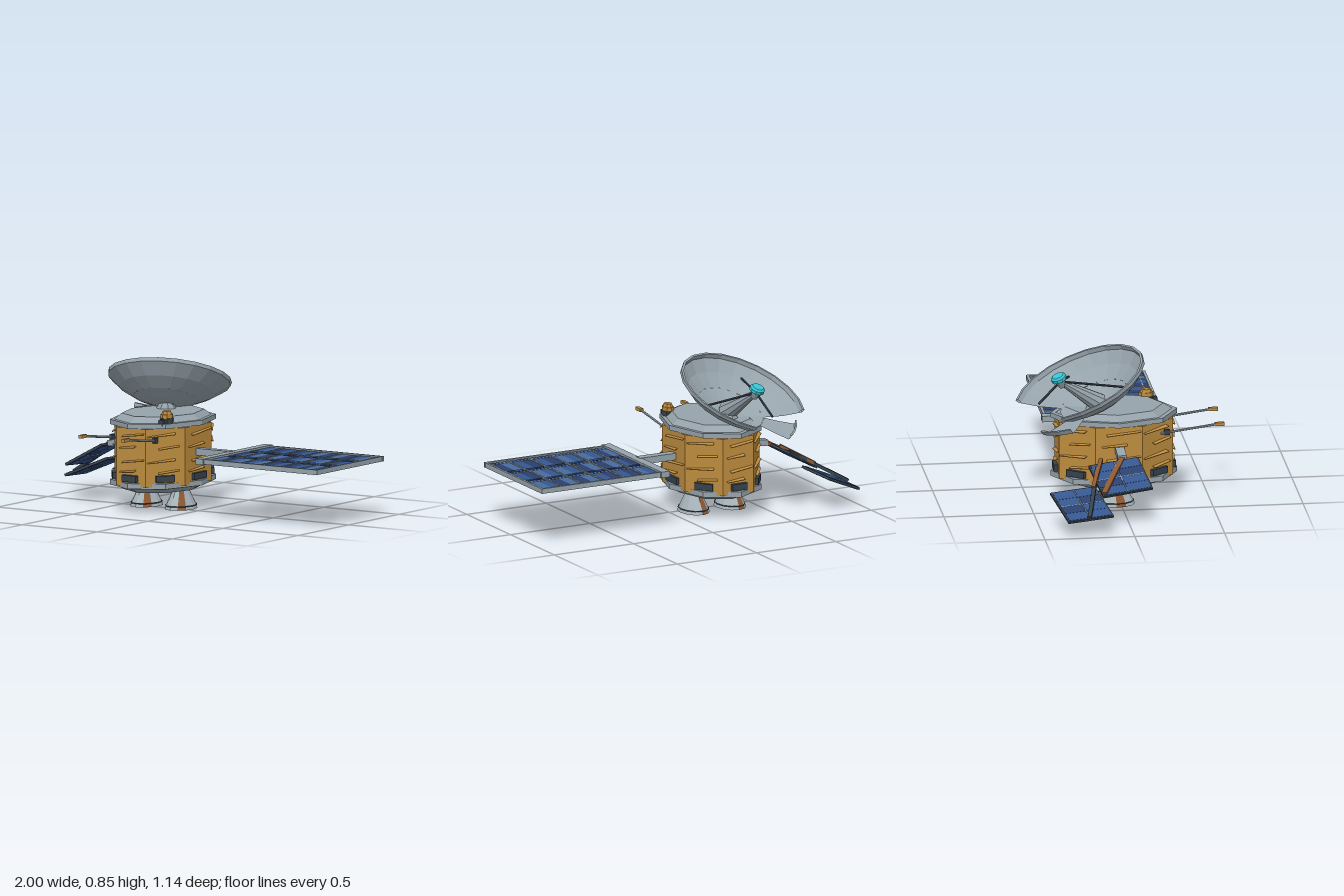
import * as THREE from 'three';

const mat = (name, color, side = THREE.FrontSide) => {
  const m = new THREE.MeshStandardMaterial({ color, side });
  m.name = name;
  return m;
};
const D = THREE.DoubleSide;
const M = {
  gold: mat('gold foil', 0xbd8c3e),
  grey: mat('grey metal', 0x96a3ab, D),
  silver: mat('silver nozzle', 0xa8b4bb, D),
  dark: mat('dark metal', 0x36424c),
  cyan: mat('cyan cap', 0x38c4d4),
  rust: mat('rust', 0x8c5833, D),
  blues: [mat('mid blue cell', 0x35568f), mat('light blue cell', 0x486b9e), mat('dark blue cell', 0x2b406e)],
};
const V = (x, y, z) => new THREE.Vector3(x, y, z);

// Faceted mesh: split the faces so that each has its own normal
function add(parent, name, geo, material, x = 0, y = 0, z = 0) {
  const g = geo.index ? geo.toNonIndexed() : geo;
  g.computeVertexNormals();
  const mesh = new THREE.Mesh(g, material);
  mesh.name = name;
  mesh.position.set(x, y, z);
  parent.add(mesh);
  return mesh;
}
const box = (p, name, m, w, h, d, x, y, z) => add(p, name, new THREE.BoxGeometry(w, h, d), m, x, y, z);
const prism = (p, name, m, rt, rb, h, y, n = 8, x = 0, z = 0) =>
  add(p, name, new THREE.CylinderGeometry(rt, rb, h, n), m, x, y, z);
function group(parent, name) {
  const g = new THREE.Group();
  g.name = name;
  parent.add(g);
  return g;
}
// Square beam or round rod between two points
function beam(p, name, m, a, b, w, h = w) {
  const mesh = box(p, name, m, w, h, a.distanceTo(b), 0, 0, 0);
  mesh.lookAt(b.clone().sub(a));
  mesh.position.copy(a).lerp(b, 0.5);
}
function rod(p, name, m, a, b, ra, rb = ra, n = 6) {
  const mesh = prism(p, name, m, rb, ra, a.distanceTo(b), 0, n);
  mesh.quaternion.setFromUnitVectors(V(0, 1, 0), b.clone().sub(a).normalize());
  mesh.position.copy(a).lerp(b, 0.5);
}

// Octagonal foil-wrapped bus with lids, vents, flaps and engines
function buildBody(root) {
  const body = group(root, 'body');
  body.position.set(-0.25, 0, -0.022);
  body.scale.x = 0.74;
  prism(body, 'foilHull', M.gold, 0.343, 0.343, 0.325, 0.3125).rotation.y = Math.PI / 8;
  prism(body, 'topRim', M.grey, 0.353, 0.353, 0.027, 0.49);
  prism(body, 'topLid', M.grey, 0.275, 0.325, 0.032, 0.519);
  prism(body, 'bottomRim', M.grey, 0.353, 0.353, 0.03, 0.155);
  prism(body, 'bottomLid', M.grey, 0.335, 0.25, 0.034, 0.124);
  for (let k = 0; k < 8; k++) {
    const face = group(body, 'hullFace');
    face.rotation.y = k * Math.PI / 4;
    box(face, 'ventBox', M.dark, 0.126, 0.037, 0.035, 0, 0.195, 0.322);
    // Loose foil wrinkles
    [0.235, 0.295, 0.37, 0.44].forEach((y, i) => {
      const s = (i + k) % 2 ? 1 : -1;
      const flap = box(face, 'foilFlap', M.gold, i % 2 ? 0.19 : 0.14, 0.004, 0.034, s * 0.025, y, 0.318);
      flap.rotation.set(0.35, s * 0.05, 0.09);
    });
  }
  // Engine bells with scorched strips
  for (const s of [-1, 1]) {
    const engine = group(body, 'engine');
    engine.position.set(s * 0.155, 0, -0.01);
    const bell = [[0.112, 0], [0.104, 0.02], [0.078, 0.065], [0.052, 0.112]].map(p => new THREE.Vector2(...p));
    const n = 12, step = Math.PI * 2 / n;
    for (let i = 0; i < n; i++) {
      const scorched = i === 1 || i === 6 || i === 9;
      add(engine, 'bellPanel', new THREE.LatheGeometry(bell, 1, i * step, step), scorched ? M.rust : M.silver);
    }
    const band = add(engine, 'bellBand', new THREE.TorusGeometry(0.105, 0.004, 4, n), M.dark, 0, 0.02, 0);
    band.rotation.x = Math.PI / 2;
  }
  // Star sensor on the lid
  const sensor = group(body, 'sensor');
  sensor.position.set(0.215, 0, 0.2);
  prism(sensor, 'sensorBase', M.dark, 0.045, 0.045, 0.035, 0.513);
  box(sensor, 'sensorBox', M.dark, 0.04, 0.035, 0.04, 0, 0.508, 0.04);
  prism(sensor, 'sensorHousing', M.gold, 0.042, 0.042, 0.022, 0.543);
  prism(sensor, 'sensorCap', M.gold, 0.028, 0.036, 0.018, 0.562);
}

// Tilted dish, with a torn gap and one bent petal
function buildDish(root) {
  const dish = group(root, 'dish');
  const tilt = new THREE.Matrix4().set(
    0.337, -0.035, 0, -0.337,
    0.06, 0.125, 0.142, 0.68,
    0, -0.1, 0.355, -0.215,
    0, 0, 0, 1);
  const deg = Math.PI / 180;
  const shell = (name, pts, n, from, len) => {
    const g = new THREE.LatheGeometry(pts.map(p => new THREE.Vector2(...p)), n, from * deg, len * deg);
    add(dish, name, g.applyMatrix4(tilt), M.grey);
  };
  shell('dishCentre', [[0, -1], [0.27, -0.93], [0.52, -0.73]], 20, 0, 360);
  shell('dishOuter', [[0.52, -0.73], [0.77, -0.41], [0.99, 0], [1, 0.14], [0.965, 0.14], [0.95, -0.03]], 16, 247, 276);
  shell('bentPetal', [[0.52, -0.73], [0.77, -0.68], [1, -0.6], [1, -0.42], [0.97, -0.42]], 3, 215, 32);
  prism(dish, 'dishMount', M.grey, 0.035, 0.06, 0.04, 0.55, 8, -0.3, -0.13);

  // Feed horn and its struts
  const root0 = V(-0.305, 0.565, -0.11), tip = V(-0.363, 0.715, -0.335);
  rod(dish, 'feedHorn', M.grey, root0, tip, 0.055, 0.015, 10);
  const n = V(-0.16, 0.91, -0.38).normalize();
  const at = t => tip.clone().addScaledVector(n, t);
  rod(dish, 'feedNeck', M.grey, at(-0.035), at(0.015), 0.018, 0.034, 10);
  rod(dish, 'feedCap', M.cyan, at(0.012), at(0.03), 0.044, 0.044, 10);
  rod(dish, 'feedCapTop', M.cyan, at(0.03), at(0.04), 0.044, 0.033, 10);
  for (const e of [V(-0.088, 0.655, -0.255), V(-0.468, 0.7, 0.02), V(-0.4, 0.6, -0.46)])
    rod(dish, 'feedStrut', M.dark, tip, e, 0.007);
}

// Large intact solar wing on the left side
function buildWing(root) {
  const wing = group(root, 'solarWing');
  const y = 0.328;
  box(wing, 'wingArm', M.grey, 0.24, 0.038, 0.05, 0.09, y, -0.025);
  box(wing, 'hingeBar', M.grey, 0.052, 0.034, 0.685, 0.222, y, -0.022);
  for (const z of [-0.346, 0.302]) box(wing, 'sideRail', M.grey, 0.755, 0.028, 0.016, 0.62, y, z);
  box(wing, 'endRail', M.grey, 0.014, 0.028, 0.664, 0.99, y, -0.022);
  const cols = [0.248, 0.34, 0.468, 0.596, 0.73, 0.858, 0.983];
  cols.slice(1, 6).forEach(x => box(wing, 'rib', M.grey, 0.011, 0.02, 0.64, x, y, -0.022));
  [[-0.34, -0.168, -0.138], [-0.118, 0.05, 0.074], [0.098, 0.265, 0.294]].forEach(([a, c, b], r) => {
    box(wing, 'rowStrip', M.grey, 0.735, 0.016, 0.006, 0.615, y, c);
    for (let i = 0; i < 6; i++) {
      const w = (cols[i + 1] - cols[i]) / 2;
      for (let h = 0; h < 2; h++) {
        const blue = M.blues[(i * 2 + h + r * 2 + (i >> 1)) % 3];
        box(wing, 'solarCell', blue, w, 0.012, b - a, cols[i] + w * (h + 0.5), y, (a + b) / 2);
      }
    }
  });
}

// Snapped panel from four corners, as a slab with cells on both faces
function brokenPanel(parent, p1, p2, p3, p4) {
  const panel = group(parent, 'brokenPanel');
  const c = p1.clone().add(p2).add(p3).add(p4).multiplyScalar(0.25);
  const u = p2.clone().add(p3).sub(p1).sub(p4).multiplyScalar(0.5);
  const v = p4.clone().add(p3).sub(p1).sub(p2).multiplyScalar(0.5);
  const n = v.clone().cross(u).normalize();
  const m = new THREE.Matrix4().makeBasis(u, n, v).setPosition(c);
  const slab = (name, mt, w, h, d, x, z) =>
    add(panel, name, new THREE.BoxGeometry(w, h, d).translate(x, 0, z).applyMatrix4(m), mt);
  slab('panelCore', M.dark, 1, 0.014, 1, 0, 0);
  for (let i = 0; i < 4; i++)
    for (let j = 0; j < 2; j++)
      slab('panelCell', M.blues[(i + j * 2) % 3 === 1 ? 2 : 0], 0.23, 0.018, 0.45, (i - 1.5) * 0.235, (j - 0.5) * 0.48);
  slab('panelLine', M.grey, 0.94, 0.02, 0.016, 0, 0);
  slab('panelLine', M.grey, 0.016, 0.02, 0.94, 0, 0);
}

function buildBrokenWing(root) {
  const wing = group(root, 'brokenWing');
  beam(wing, 'wingStub', M.grey, V(-0.46, 0.35, -0.02), V(-0.6, 0.33, -0.02), 0.05, 0.034);
  brokenPanel(wing, V(-0.84, 0.19, -0.16), V(-0.655, 0.3, -0.21), V(-0.585, 0.335, 0.065), V(-0.81, 0.205, 0.13));
  brokenPanel(wing, V(-1, 0.095, -0.365), V(-0.77, 0.19, -0.445), V(-0.735, 0.215, -0.185), V(-0.965, 0.105, -0.115));
  beam(wing, 'rustedSpar', M.rust, V(-0.6, 0.33, -0.02), V(-0.84, 0.205, -0.15), 0.03, 0.018);
  beam(wing, 'rustedSpar', M.rust, V(-0.62, 0.335, -0.14), V(-0.8, 0.23, -0.205), 0.022, 0.018);
  beam(wing, 'outerSpar', M.dark, V(-0.66, 0.305, -0.165), V(-0.99, 0.115, -0.25), 0.022, 0.018);
}

export function createModel() {
  const root = new THREE.Group();
  root.name = 'satellite';
  buildBody(root);
  buildDish(root);
  buildWing(root);
  buildBrokenWing(root);
  // Forward whip antennas
  for (const x of [-0.4, -0.115]) {
    const antenna = group(root, 'antenna');
    rod(antenna, 'antennaRod', M.grey, V(x, 0.405, 0.22), V(x, 0.447, 0.53), 0.007);
    box(antenna, 'antennaRoot', M.dark, 0.016, 0.03, 0.03, x, 0.412, 0.255);
    box(antenna, 'antennaTip', M.gold, 0.022, 0.018, 0.053, x, 0.448, 0.547);
  }
  return root;
}
